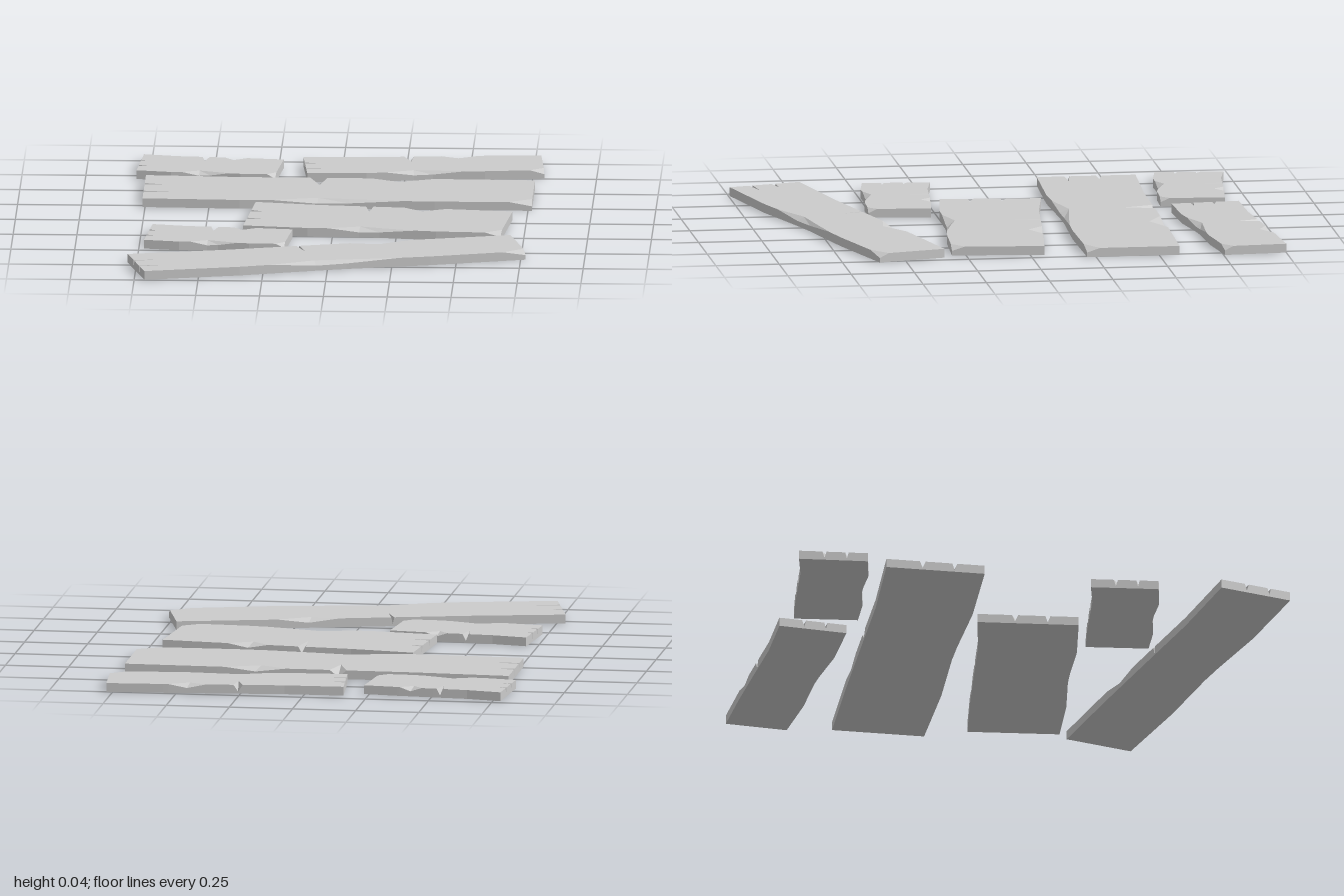
import * as THREE from 'three';

const H = 0.035; // plank thickness

// Slight waviness of the long edges at u = 0, .25, .5, .75, 1
const BACK_WAVE = [0, 0.011, 0.005, 0, 0];
const FRONT_WAVE = [0, 0.012, -0.004, 0.008, 0];

function wave(table, u) {
  const i = Math.min(3, Math.floor(u * 4));
  return THREE.MathUtils.lerp(table[i], table[i + 1], u * 4 - i);
}

// Outline of a plank, u along its length and v from back to front.
// Each entry: outer u, v, then optionally the worn top position u, v and the height of the outer rim.
function outline(crackHalf) {
  const c = 0.445;
  return [
    // back edge: split and shallow chip
    [0, 0], [0.25, 0],
    [c - crackHalf, 0], [c, 0, c + 0.004, 0.32, 0.008], [c + crackHalf, 0],
    [0.5, 0], [0.58, 0], [0.66, 0, 0.65, 0.15, 0.02], [0.74, 0], [0.76, 0],
    // right end with broken front corner
    [1, 0], [1, 0.86], [1, 1, 0.97, 0.93, 0.018], [0.94, 1],
    // front edge: long worn hollow
    [0.75, 1], [0.67, 1], [0.53, 1, 0.53, 0.95, 0.022],
    [0.45, 1, 0.45, 0.9, 0.02], [0.33, 1], [0.25, 1],
    // left end: two splits
    [0, 1], [0, 0.72], [0, 0.695, 0.07, 0.7, 0.008], [0, 0.67],
    [0, 0.4], [0, 0.37, 0.05, 0.385, 0.008], [0, 0.34],
  ];
}

// Corners are [x, z]: back left, back right, front right, front left as seen from above
function plankGeometry([bl, br, fr, fl], crackHalf) {
  const place = (u, v, y) => {
    const lerp = THREE.MathUtils.lerp;
    const x = lerp(lerp(bl[0], br[0], u), lerp(fl[0], fr[0], u), v);
    const z = lerp(lerp(bl[1], br[1], u) + wave(BACK_WAVE, u),
      lerp(fl[1], fr[1], u) + wave(FRONT_WAVE, u), v);
    return new THREE.Vector3(x, y, z);
  };
  const pts = outline(crackHalf);
  const top = pts.map(([u, v, tu = u, tv = v]) => place(tu, tv, H));
  const rim = pts.map(([u, v, , , y = H]) => place(u, v, y));
  const base = pts.map(([u, v]) => place(u, v, 0));

  const positions = [];
  const normal = new THREE.Vector3();
  const tri = (a, b, c, facing = 0) => {
    THREE.Triangle.getNormal(a, b, c, normal);
    if (normal.lengthSq() < 0.5) return; // collapsed where there is no damage
    const order = facing * normal.y < 0 ? [a, c, b] : [a, b, c];
    order.forEach((p) => positions.push(p.x, p.y, p.z));
  };

  // flat top and underside
  for (const [ring, facing] of [[top, 1], [base, -1]]) {
    const flat = ring.map((p) => new THREE.Vector2(p.x, -p.z));
    for (const [a, b, c] of THREE.ShapeUtils.triangulateShape(flat, [])) {
      tri(ring[a], ring[b], ring[c], facing);
    }
  }
  // worn slopes and side walls
  for (const [upper, lower] of [[top, rim], [rim, base]]) {
    for (let i = 0; i < pts.length; i++) {
      const j = (i + 1) % pts.length;
      tri(upper[i], upper[j], lower[i]);
      tri(upper[j], lower[j], lower[i]);
    }
  }

  const geometry = new THREE.BufferGeometry();
  geometry.setAttribute('position', new THREE.Float32BufferAttribute(positions, 3));
  geometry.computeVertexNormals();
  return geometry;
}

export function createModel() {
  const group = new THREE.Group();
  group.name = 'woodenPlanks';
  const material = new THREE.MeshStandardMaterial({ color: 0xcccccc, flatShading: true });

  const planks = [
    ['shortPlankBack', [[-0.78, -0.965], [-0.23, -0.895], [-0.255, -0.645], [-0.8, -0.695]], 0.025],
    ['mediumPlankBack', [[-0.155, -0.94], [0.775, -1.0], [0.795, -0.755], [-0.13, -0.67]], 0.02],
    ['longPlankMiddle', [[-0.76, -0.615], [0.765, -0.58], [0.765, -0.215], [-0.76, -0.225]], 0.022],
    ['mediumPlankMiddle', [[-0.315, -0.18], [0.695, -0.055], [0.66, 0.305], [-0.35, 0.215]], 0.015],
    ['shortPlankFront', [[-0.705, 0.205], [-0.155, 0.275], [-0.18, 0.52], [-0.73, 0.47]], 0.025],
    ['longPlankFront', [[-0.785, 0.71], [0.7, 0.34], [0.77, 0.605], [-0.71, 0.995]], 0.004],
  ];
  for (const [name, corners, crackHalf] of planks) {
    const mesh = new THREE.Mesh(plankGeometry(corners, crackHalf), material);
    mesh.name = name;
    group.add(mesh);
  }
  return group;
}
